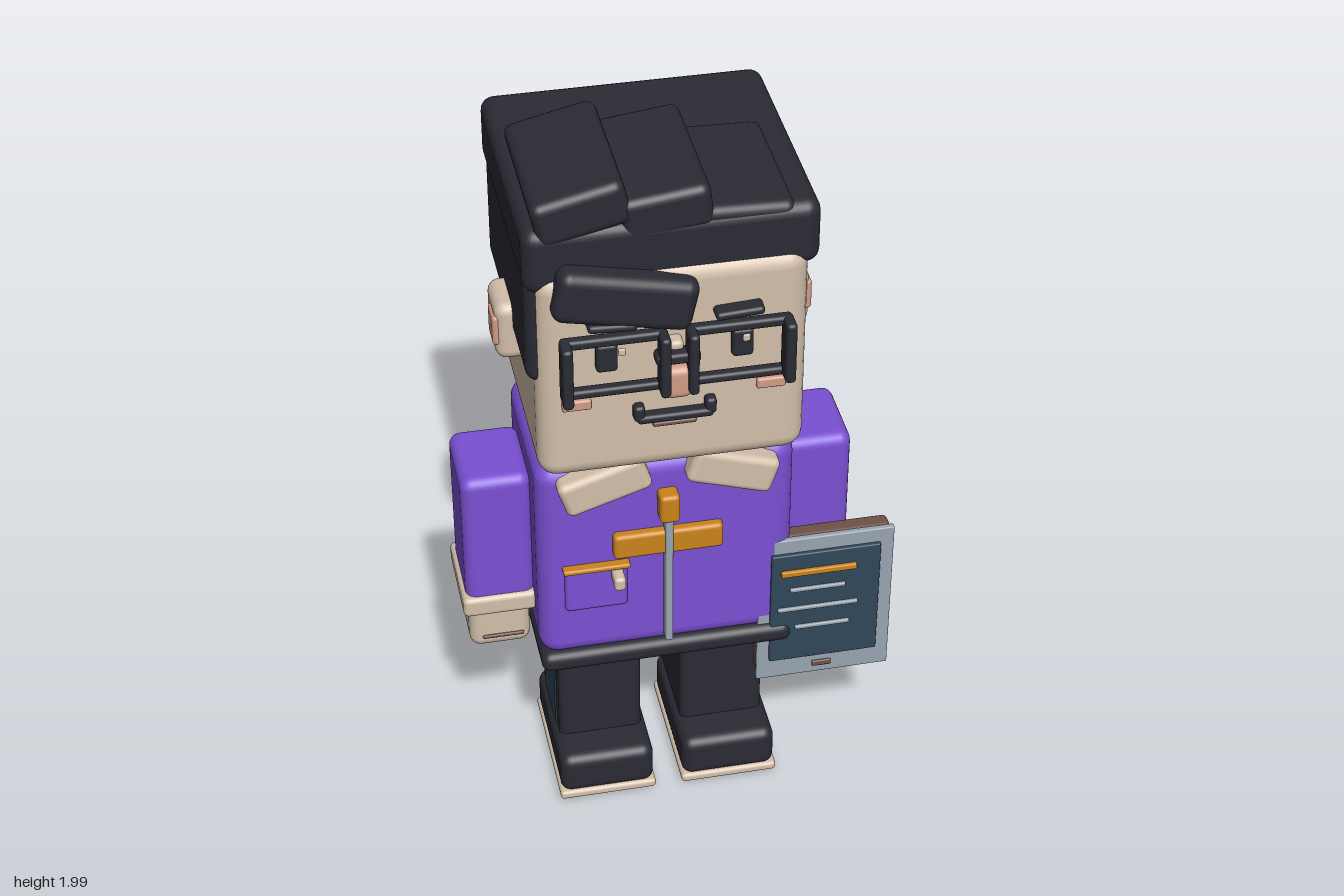
import * as THREE from 'three';
import { RoundedBoxGeometry } from 'three/addons/geometries/RoundedBoxGeometry.js';

const mat = (name, color) => {
  const m = new THREE.MeshStandardMaterial({ color });
  m.name = name;
  return m;
};

export function createModel() {
  const skin = mat('skin', 0xd3bfaa), dark = mat('charcoal', 0x2a2b34);
  const purple = mat('purple', 0x7a50d2), orange = mat('orange', 0xcb841b);
  const pink = mat('pink', 0xcf9c86), blue = mat('slate blue', 0x31475a);
  const grey = mat('grey', 0x98a5b1), brown = mat('brown', 0x6f5147);

  const model = new THREE.Group();
  model.name = 'figure';
  // The body is symmetric about its own centre plane, set off by the tablet
  const body = new THREE.Group();
  body.name = 'body';
  body.position.x = -0.045;
  model.add(body);

  // Rounded box given by its extents on x, y and z, turned by deg about z
  function box(name, material, x, y, z, r = 0.02, deg = 0, parent = body) {
    const size = [x, y, z].map(([a, b]) => b - a);
    const radius = Math.min(r, Math.min(...size) * 0.49);
    const mesh = new THREE.Mesh(new RoundedBoxGeometry(...size, 3, radius), material);
    mesh.position.set(...[x, y, z].map(([a, b]) => (a + b) / 2));
    mesh.rotation.z = THREE.MathUtils.degToRad(deg);
    mesh.name = name;
    parent.add(mesh);
    return mesh;
  }
  // The same box on both sides; x is given for the +x side
  function pair(name, material, x, y, z, r, deg = 0) {
    box(name + 'Left', material, x, y, z, r, deg);
    box(name + 'Right', material, [-x[1], -x[0]], y, z, r, -deg);
  }

  // Head and neck
  box('head', skin, [-0.335, 0.335], [1.155, 1.755], [-0.305, 0.3], 0.05);
  box('neck', skin, [-0.16, 0.16], [1.02, 1.2], [-0.15, 0.17], 0.03);
  pair('ear', skin, [0.31, 0.398], [1.365, 1.53], [-0.085, 0.065], 0.03);
  pair('innerEar', pink, [0.37, 0.405], [1.41, 1.495], [-0.02, 0.055], 0.01);

  // Hair: cap, long right side, three top tufts and a swept fringe
  box('hairCap', dark, [-0.357, 0.363], [1.7, 1.875], [-0.382, 0.285], 0.035);
  box('hairSide', dark, [-0.355, -0.225], [1.44, 1.78], [-0.33, 0.275], 0.03);
  box('hairTuftRight', dark, [-0.33, -0.1], [1.85, 1.97], [-0.115, 0.287], 0.025, 13);
  box('hairTuftMiddle', dark, [-0.12, 0.1], [1.83, 1.945], [-0.115, 0.285], 0.025, 7);
  box('hairTuftLeft', dark, [0.06, 0.3], [1.77, 1.885], [-0.115, 0.28], 0.025, -2);
  box('fringe', dark, [-0.293, 0.053], [1.615, 1.755], [0.22, 0.342], 0.03, -12);

  // Glasses
  pair('glassesTop', dark, [0.025, 0.283], [1.575, 1.602], [0.315, 0.345], 0.01);
  pair('glassesBottom', dark, [0.025, 0.283], [1.43, 1.455], [0.315, 0.345], 0.01);
  pair('glassesOuterPost', dark, [0.258, 0.285], [1.43, 1.602], [0.32, 0.383], 0.01);
  pair('glassesInnerPost', dark, [0.022, 0.047], [1.43, 1.602], [0.32, 0.383], 0.01);
  box('glassesBridge', dark, [-0.055, 0.055], [1.51, 1.54], [0.315, 0.36], 0.01);

  // Face
  pair('eye', dark, [0.14, 0.193], [1.483, 1.562], [0.29, 0.32], 0.01);
  for (const x of [-0.13, 0.175]) {
    box('eyeHighlight', skin, [x - 0.01, x + 0.008], [1.53, 1.55], [0.315, 0.324], 0.004);
  }
  pair('eyebrow', dark, [0.095, 0.215], [1.61, 1.632], [0.29, 0.34], 0.01, 3);
  box('nose', pink, [-0.035, 0.035], [1.41, 1.5], [0.28, 0.365], 0.02);
  box('noseBridge', skin, [-0.018, 0.018], [1.47, 1.56], [0.28, 0.335], 0.012);
  pair('cheek', pink, [0.205, 0.277], [1.373, 1.402], [0.295, 0.312], 0.006);
  box('mouth', dark, [-0.095, 0.095], [1.318, 1.342], [0.29, 0.328], 0.01);
  pair('mouthCorner', dark, [0.075, 0.103], [1.325, 1.37], [0.29, 0.326], 0.01);
  box('lowerLip', brown, [-0.055, 0.055], [1.298, 1.312], [0.29, 0.316], 0.006);

  // Jacket, collar and belt
  box('torso', purple, [-0.335, 0.335], [0.503, 1.125], [-0.225, 0.22], 0.05);
  pair('collar', skin, [0.05, 0.28], [1.028, 1.132], [0.1, 0.262], 0.02, -18);
  box('belt', dark, [-0.336, 0.336], [0.465, 0.525], [-0.215, 0.24], 0.025);
  box('zipper', grey, [-0.01, 0.01], [0.54, 0.96], [0.2, 0.252], 0.005);
  box('zipperPull', orange, [-0.026, 0.026], [0.945, 1.03], [0.2, 0.265], 0.012);
  box('chestBand', orange, [-0.143, 0.143], [0.83, 0.905], [0.2, 0.245], 0.012);
  box('pocket', purple, [-0.27, -0.105], [0.665, 0.805], [0.2, 0.232], 0.012);
  box('pocketTrim', orange, [-0.275, -0.1], [0.798, 0.813], [0.2, 0.245], 0.006);
  box('pocketButton', skin, [-0.149, -0.119], [0.757, 0.797], [0.22, 0.282], 0.01);

  // Arms
  pair('sleeve', purple, [0.33, 0.512], [0.63, 1.037], [-0.122, 0.115], 0.03);
  pair('cuff', skin, [0.327, 0.523], [0.6, 0.66], [-0.13, 0.128], 0.015);
  pair('hand', skin, [0.345, 0.507], [0.475, 0.62], [-0.085, 0.11], 0.03);
  pair('fingerLine', brown, [0.365, 0.475], [0.51, 0.52], [0.1, 0.116], 0.004);

  // Legs and shoes
  pair('leg', dark, [0.055, 0.28], [0.1, 0.5], [-0.142, 0.14], 0.02);
  pair('legPanel', blue, [0.274, 0.284], [0.13, 0.47], [-0.083, 0.083], 0.003);
  pair('shoe', dark, [0.04, 0.296], [0.025, 0.15], [-0.146, 0.245], 0.03);
  pair('sole', skin, [0.036, 0.3], [0.01, 0.036], [-0.15, 0.25], 0.01);
  pair('tread', dark, [0.05, 0.286], [0, 0.02], [-0.135, 0.235], 0.006);

  // Tablet held at the left hand
  const tablet = new THREE.Group();
  tablet.name = 'tablet';
  model.add(tablet);
  const part = (name, m, x, y, z, r = 0.004) => box(name, m, x, y, z, r, 0, tablet);
  part('tabletCase', brown, [0.203, 0.558], [0.335, 0.795], [0.15, 0.203], 0.015);
  part('tabletFrame', grey, [0.2, 0.563], [0.328, 0.8], [0.203, 0.22]);
  part('tabletScreen', blue, [0.232, 0.526], [0.395, 0.757], [0.215, 0.231]);
  part('tabletButton', brown, [0.352, 0.405], [0.352, 0.37], [0.21, 0.226]);
  part('screenTitle', orange, [0.257, 0.46], [0.69, 0.708], [0.225, 0.241]);
  [[0.282, 0.432, 0.64], [0.25, 0.468, 0.575], [0.298, 0.447, 0.51]].forEach(([a, b, y]) =>
    part('screenLine', grey, [a, b], [y - 0.006, y + 0.006], [0.225, 0.239]));

  return model;
}
